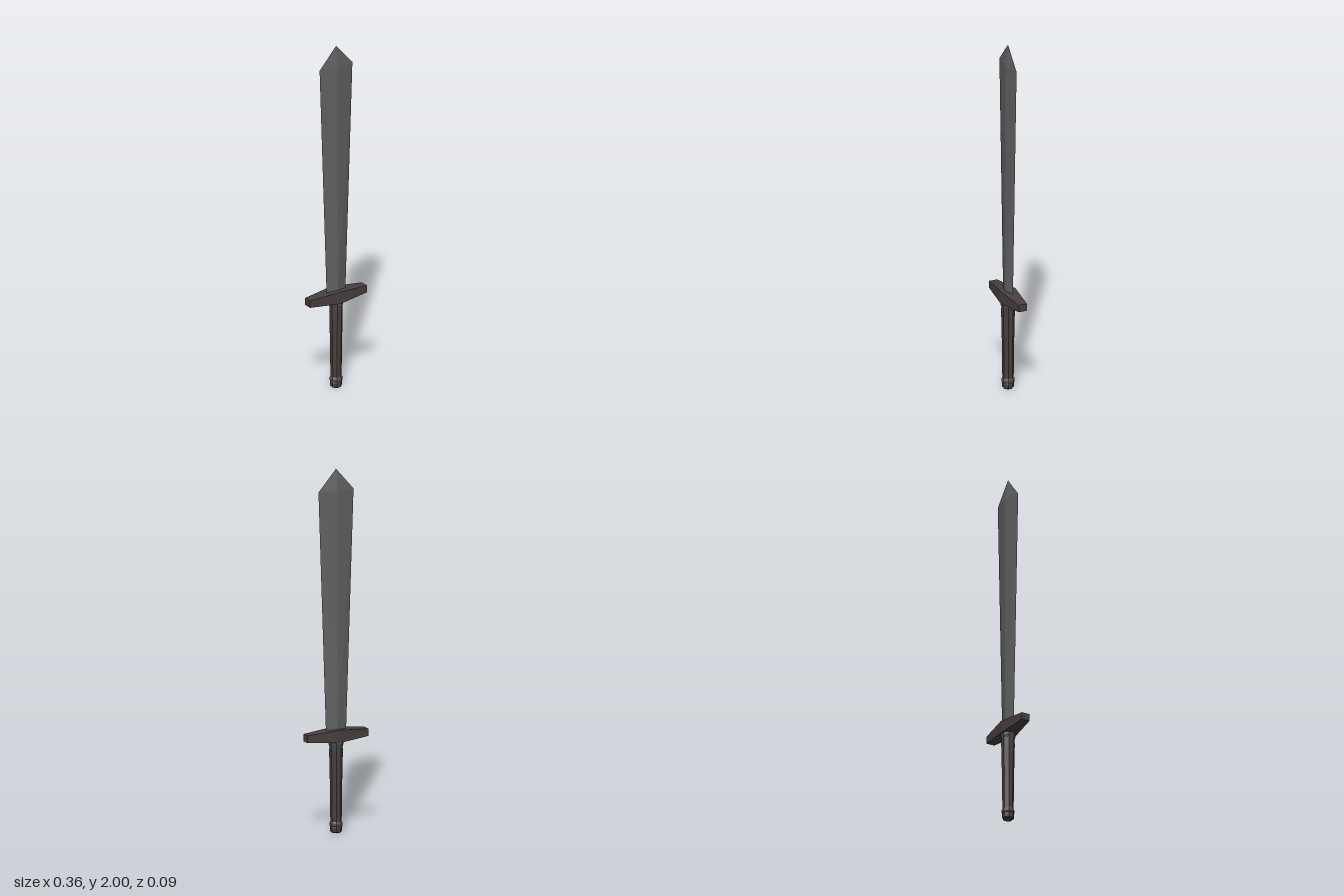
import * as THREE from 'three';
import { ConvexGeometry } from 'three/addons/geometries/ConvexGeometry.js';

const material = (name, color) => {
  const m = new THREE.MeshStandardMaterial({ color, flatShading: true });
  m.name = name;
  return m;
};

export function createModel() {
  const steel = material('blade steel', 0x616161);
  const leather = material('dark leather brown', 0x483f3f);
  const iron = material('fitting iron', 0x505151);
  const group = new THREE.Group();

  const add = (name, geometry, mat) => {
    const mesh = new THREE.Mesh(geometry, mat);
    mesh.name = name;
    group.add(mesh);
  };
  const v = (x, y, z) => new THREE.Vector3(x, y, z);

  // Blade: diamond section that widens upward, then closes to a point
  const diamond = (y, w, d) => [v(w, y, 0), v(0, y, d), v(-w, y, 0), v(0, y, -d)];
  add('blade', new ConvexGeometry([
    ...diamond(0.55, 0.06, 0.018),
    ...diamond(1.88, 0.105, 0.018),
    v(0, 2, 0),
  ]), steel);

  // Crossguard: rectangular section, thickest in the middle
  const guardSection = (x, low, high, d) =>
    [v(x, low, d), v(x, high, d), v(x, high, -d), v(x, low, -d)];
  add('crossguard', new ConvexGeometry([
    ...guardSection(-0.182, 0.515, 0.555, 0.024),
    ...guardSection(0, 0.5, 0.57, 0.045),
    ...guardSection(0.182, 0.515, 0.555, 0.024),
  ]), leather);

  // Turned parts share one eight-sided lathe with flat faces to the front
  const turned = (name, points, mat) => {
    const geometry = new THREE.LatheGeometry(
      points.map(([r, y]) => new THREE.Vector2(r * 1.05, y)), 8, Math.PI / 8);
    add(name, geometry, mat);
  };
  turned('grip', [[0.029, 0.05], [0.031, 0.25], [0.035, 0.44], [0.034, 0.48]], leather);
  turned('upperCollar',
    [[0.03, 0.468], [0.034, 0.472], [0.039, 0.49], [0.039, 0.502], [0, 0.502]], iron);
  turned('pommelRing',
    [[0.028, 0.034], [0.033, 0.038], [0.033, 0.054], [0.028, 0.064], [0, 0.064]], iron);
  turned('pommel',
    [[0, 0], [0.024, 0], [0.031, 0.009], [0.032, 0.03], [0.028, 0.038]], leather);

  return group;
}
